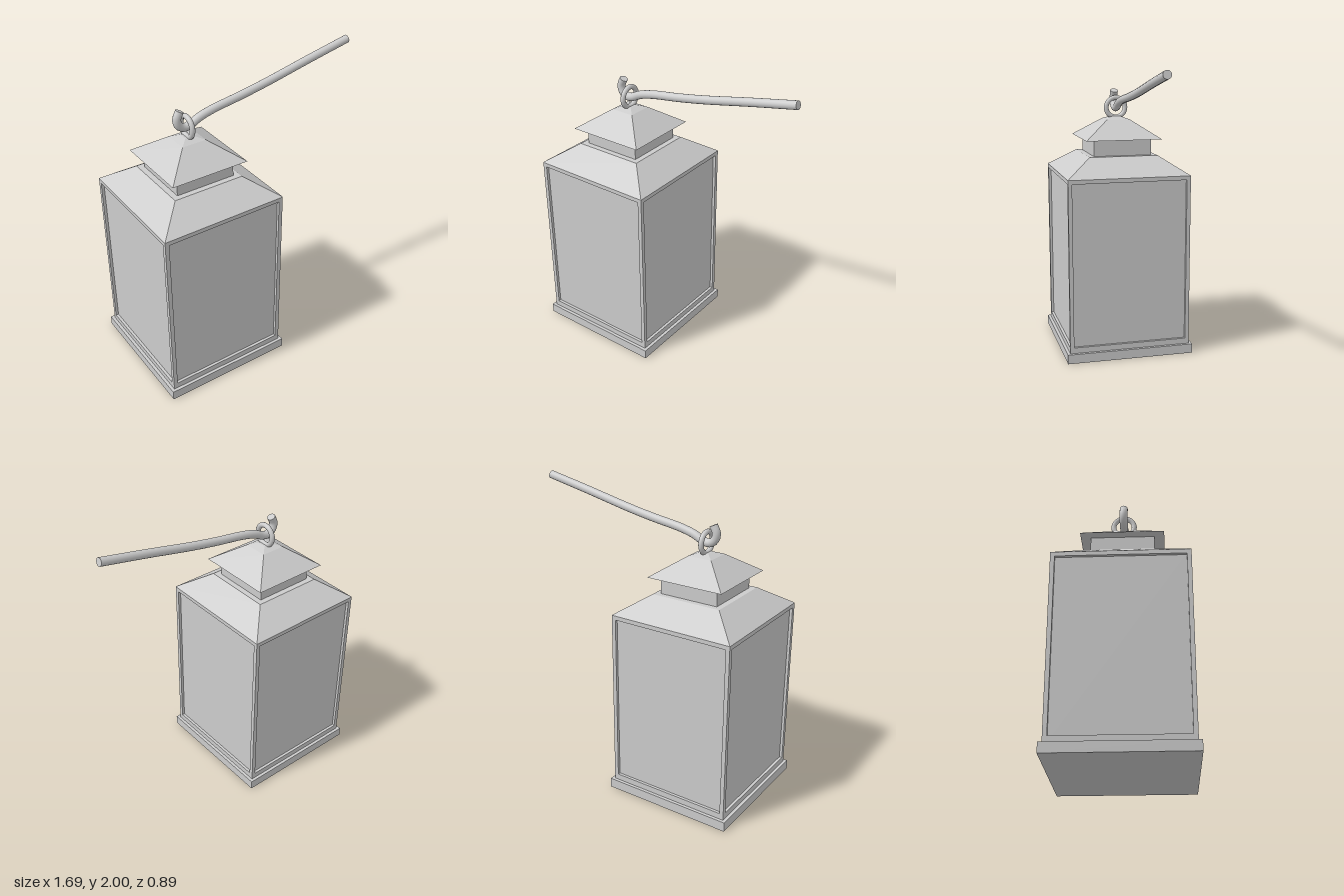
import * as THREE from 'three';

const smooth = new THREE.MeshStandardMaterial({ color: 0xcccccc });
const flat = new THREE.MeshStandardMaterial({ color: 0xcccccc, flatShading: true });

function add(parent, name, geometry, material = flat) {
  const mesh = new THREE.Mesh(geometry, material);
  mesh.name = name;
  parent.add(mesh);
  return mesh;
}

// Square block from y0 to y1, tapering between two half-widths
function squareTier(parent, name, y0, half0, y1, half1) {
  const g = new THREE.CylinderGeometry(half1 * Math.SQRT2, half0 * Math.SQRT2, y1 - y0, 4);
  g.rotateY(Math.PI / 4);
  g.translate(0, (y0 + y1) / 2, 0);
  return add(parent, name, g);
}

// Rectangular window frame with an opening, extruded along +z
function frameGeometry(half, depth) {
  const shape = new THREE.Shape([
    new THREE.Vector2(-half, 0.065), new THREE.Vector2(half, 0.065),
    new THREE.Vector2(half, 1.265), new THREE.Vector2(-half, 1.265),
  ]);
  shape.holes.push(new THREE.Path([
    new THREE.Vector2(-0.397, 0.105), new THREE.Vector2(-0.397, 1.237),
    new THREE.Vector2(0.397, 1.237), new THREE.Vector2(0.397, 0.105),
  ]));
  return new THREE.ExtrudeGeometry(shape, { depth, bevelEnabled: false });
}

export function createModel() {
  const model = new THREE.Group();
  model.name = 'hangingLantern';

  const lantern = new THREE.Group();
  lantern.name = 'lantern';
  lantern.position.x = -0.405;
  model.add(lantern);

  // Base, glass body and stacked roofs
  squareTier(lantern, 'base', 0, 0.445, 0.065, 0.445);
  squareTier(lantern, 'glassBody', 0.065, 0.405, 1.265, 0.405);
  squareTier(lantern, 'lowerRoof', 1.265, 0.425, 1.388, 0.24);
  squareTier(lantern, 'chimney', 1.388, 0.202, 1.5, 0.202);
  squareTier(lantern, 'upperRoof', 1.5, 0.265, 1.625, 0.083);
  squareTier(lantern, 'roofCap', 1.625, 0.083, 1.645, 0.03);

  // Raised frames on the four sides; side frames butt against front and back
  const depth = 0.019;
  for (let i = 0; i < 4; i++) {
    const g = frameGeometry(i % 2 ? 0.405 : 0.424, depth);
    g.translate(0, 0, 0.405);
    g.rotateY(i * Math.PI / 2);
    add(lantern, 'windowFrame', g);
  }

  // Hanging ring, standing across the stick
  const ring = add(lantern, 'hangingRing', new THREE.TorusGeometry(0.068, 0.017, 12, 36), smooth);
  ring.rotation.y = Math.PI / 2;
  ring.position.y = 1.706;

  // Carrying stick with a hooked end
  const radius = 0.027;
  const path = new THREE.CatmullRomCurve3([
    [-0.45, 1.822], [-0.472, 1.775], [-0.462, 1.73], [-0.425, 1.705], [-0.38, 1.711],
    [-0.315, 1.742], [-0.22, 1.768], [0, 1.803], [0.2, 1.84], [0.52, 1.909], [0.838, 1.974],
  ].map(([x, y]) => new THREE.Vector3(x, y, 0)));
  add(model, 'stick', new THREE.TubeGeometry(path, 90, radius, 16), smooth);

  // Flat ends of the stick
  for (const t of [0, 1]) {
    const outward = path.getTangent(t).multiplyScalar(t ? 1 : -1);
    const cap = add(model, 'stickEnd', new THREE.CircleGeometry(radius, 16), flat);
    cap.position.copy(path.getPoint(t));
    cap.quaternion.setFromUnitVectors(new THREE.Vector3(0, 0, 1), outward);
  }
  return model;
}
